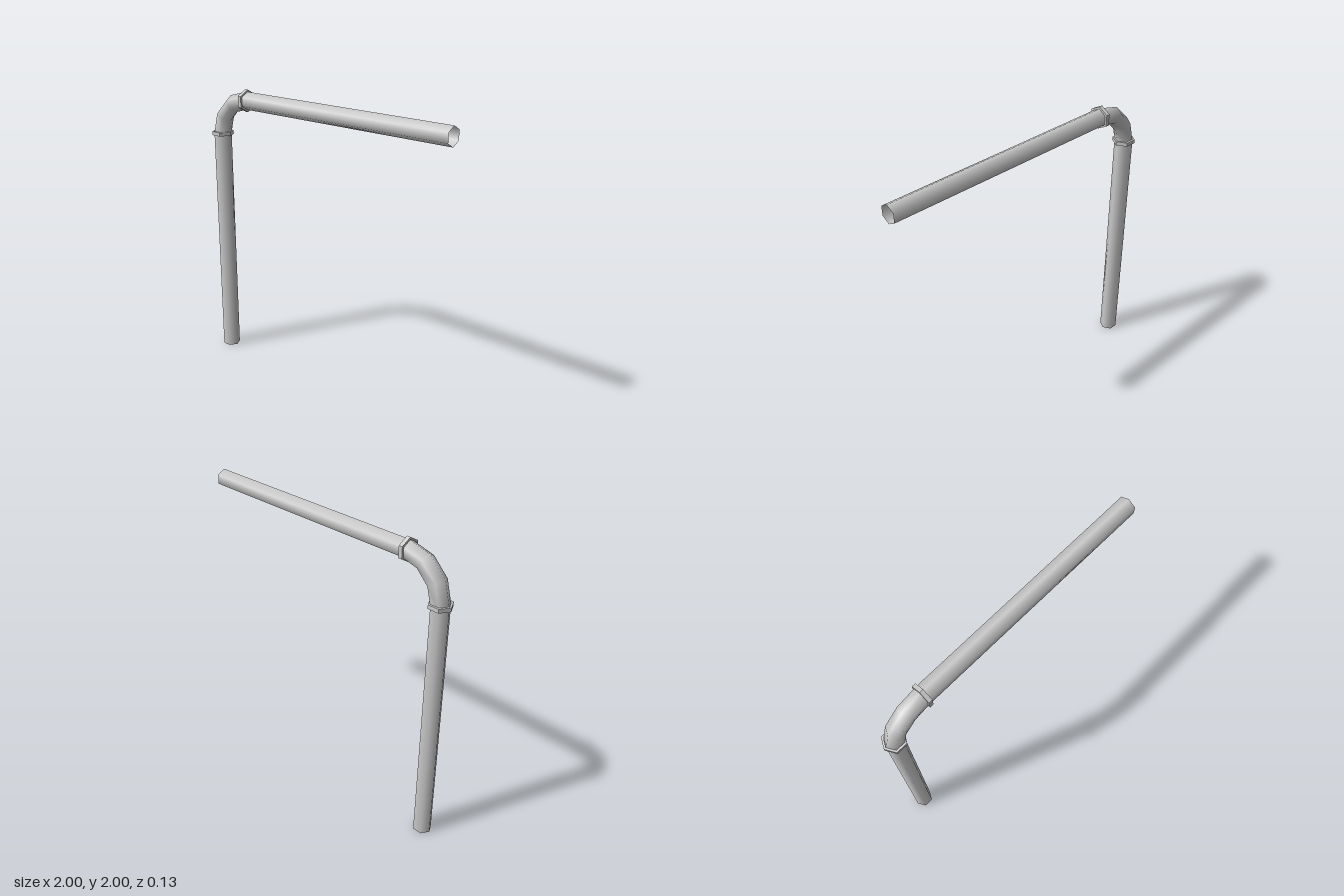
import * as THREE from 'three';

const PIPE_R = 0.062, COLLAR_R = 0.077, COLLAR_H = 0.026;
const BEND_R = 0.257, AXIS_X = -0.923, AXIS_Y = 1.923;
const JOINT_X = AXIS_X + BEND_R, JOINT_Y = AXIS_Y - BEND_R;

export function createModel() {
  const group = new THREE.Group();
  const pipeMat = new THREE.MeshStandardMaterial({ color: 0xcccccc, side: THREE.DoubleSide });
  const collarMat = new THREE.MeshStandardMaterial({ color: 0xcccccc, side: THREE.DoubleSide, flatShading: true });

  const add = (name, geometry, material, x, y, turn = 0) => {
    const mesh = new THREE.Mesh(geometry, material);
    mesh.name = name;
    mesh.position.set(x, y, 0);
    mesh.rotation.z = turn;
    group.add(mesh);
  };
  // Open six-sided pipe with an edge facing along local x
  const pipe = (length) => new THREE.CylinderGeometry(PIPE_R, PIPE_R, length, 6, 1, true, Math.PI / 2);

  // Straight runs
  add('verticalPipe', pipe(JOINT_Y), pipeMat, AXIS_X, JOINT_Y / 2);
  add('horizontalPipe', pipe(1 - JOINT_X), pipeMat, (1 + JOINT_X) / 2, AXIS_Y, -Math.PI / 2);

  // Three-segment quarter bend
  add('elbow', new THREE.TorusGeometry(BEND_R, PIPE_R, 6, 3, Math.PI / 2), pipeMat, JOINT_X, JOINT_Y, Math.PI / 2);

  // Hexagonal ring collars over both joints
  const h = COLLAR_H / 2;
  const profile = [[PIPE_R, -h], [COLLAR_R, -h], [COLLAR_R, h], [PIPE_R, h]]
    .map(([r, y]) => new THREE.Vector2(r, y));
  const collar = new THREE.LatheGeometry(profile, 6, Math.PI / 2);
  add('lowerCollar', collar, collarMat, AXIS_X, JOINT_Y);
  add('upperCollar', collar, collarMat, JOINT_X, AXIS_Y, -Math.PI / 2);

  return group;
}
